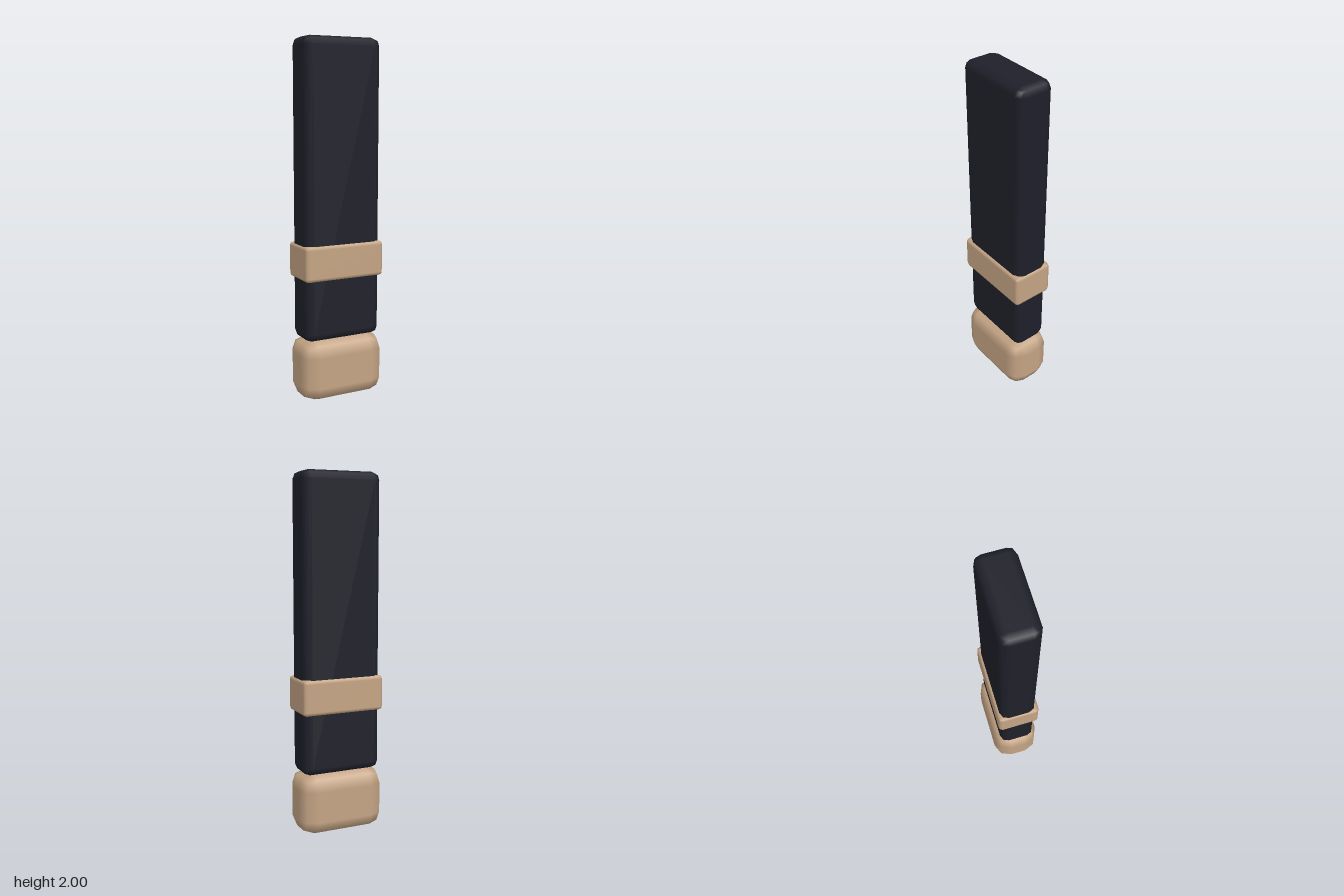
import * as THREE from 'three';
import { RoundedBoxGeometry } from 'three/addons/geometries/RoundedBoxGeometry.js';

export function createModel() {
  const model = new THREE.Group();
  model.name = 'handle';

  const navy = new THREE.MeshStandardMaterial({ color: 0x1f1f2a });
  navy.name = 'dark navy';
  const tan = new THREE.MeshStandardMaterial({ color: 0xc4a484 });
  tan.name = 'tan';

  // Softly bevelled block spanning bottom..top in height
  function block(name, width, depth, bottom, top, radius, material) {
    const geometry = new RoundedBoxGeometry(width, top - bottom, depth, 1, radius);
    const mesh = new THREE.Mesh(geometry, material);
    mesh.name = name;
    mesh.position.y = (top + bottom) / 2;
    model.add(mesh);
  }

  block('shaft', 0.457, 0.207, 0.345, 2, 0.045, navy);
  block('band', 0.477, 0.238, 0.69, 0.888, 0.021, tan);
  block('endCap', 0.5, 0.273, 0, 0.353, 0.09, tan);

  return model;
}
